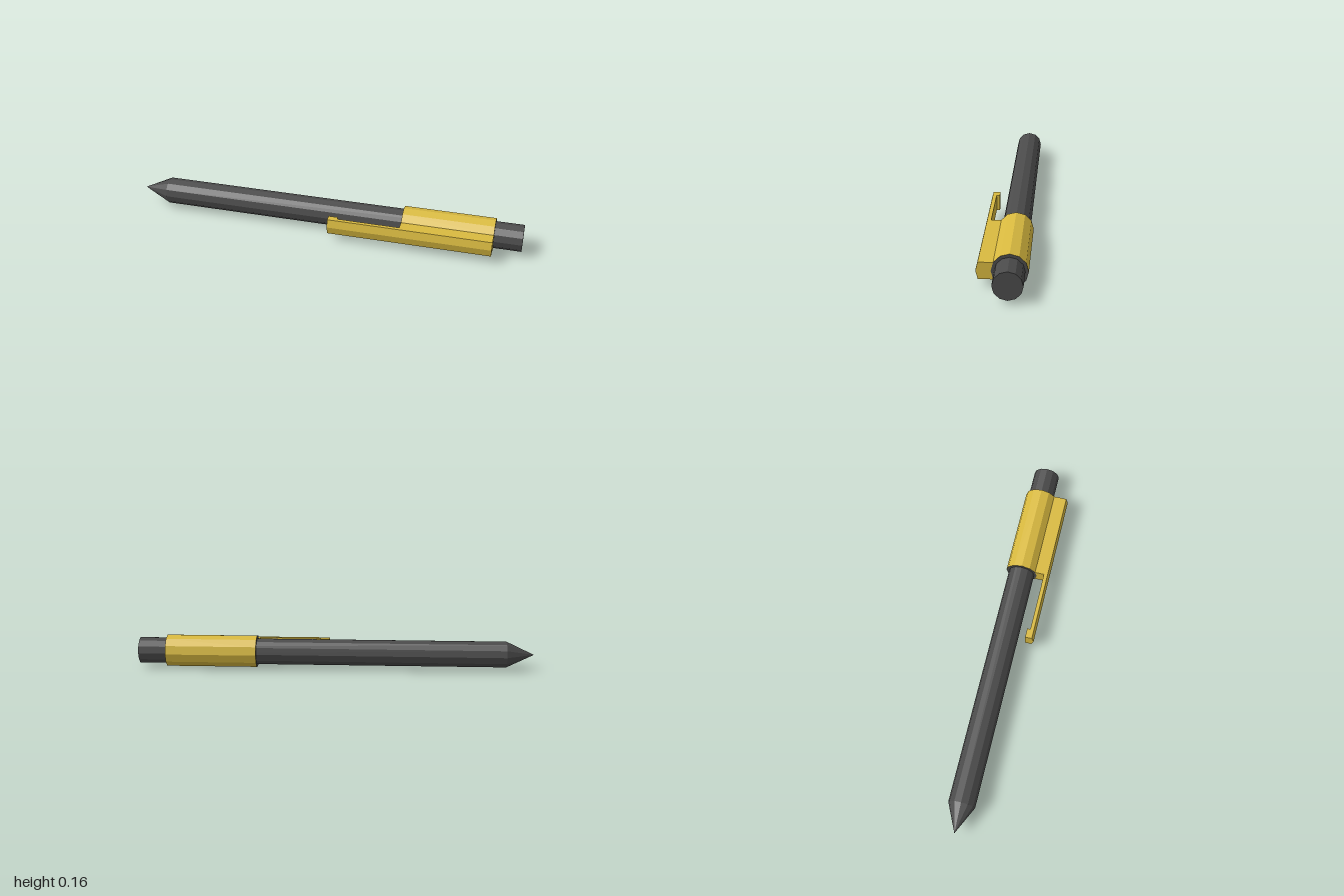
import * as THREE from 'three';

const AXIS_Y = 0.083, AXIS_Z = -0.033, SIDES = 12;

export function createModel() {
  const charcoal = new THREE.MeshStandardMaterial({ color: 0x4b4b4b, flatShading: true });
  charcoal.name = 'charcoal';
  const gold = new THREE.MeshStandardMaterial({ color: 0xd9ba40, flatShading: true });
  gold.name = 'gold';

  const pen = new THREE.Group();
  pen.name = 'pen';
  const add = (name, geometry, material) => {
    const mesh = new THREE.Mesh(geometry, material);
    mesh.name = name;
    pen.add(mesh);
  };
  // Turn a shape made around the y axis onto the pen's long axis
  const alongPen = (geometry, x = 0) => geometry.rotateZ(-Math.PI / 2).translate(x, AXIS_Y, AXIS_Z);

  // Barrel with pointed tip and flat end
  const profile = [[0, -1], [0.067, -0.86], [0.067, 1], [0, 1]].map(([r, l]) => new THREE.Vector2(r, l));
  add('barrel', alongPen(new THREE.LatheGeometry(profile, SIDES)), charcoal);

  // Gold sleeve with dark end rings
  const sleeve = new THREE.CylinderGeometry(0.082, 0.082, 0.46, SIDES);
  add('sleeve', alongPen(sleeve, 0.63), [gold, charcoal, charcoal]);

  // Clip pieces share a ridged outer face; the inner face varies
  const clipPiece = (name, x0, x1, innerEdge, innerMid) => {
    const outline = [[innerEdge, 0.043], [0.105, 0.043], [0.115, AXIS_Y], [0.105, 0.123],
      [innerEdge, 0.123], [innerMid, AXIS_Y]];
    const shape = new THREE.Shape(outline.map(([z, y]) => new THREE.Vector2(-z, y)));
    const geometry = new THREE.ExtrudeGeometry(shape, { depth: x1 - x0, bevelEnabled: false });
    add(name, geometry.rotateY(Math.PI / 2).translate(x0, 0, 0), gold);
  };
  clipPiece('clipHook', 0.037, 0.085, 0.07, 0.07);
  clipPiece('clipArm', 0.085, 0.4, 0.086, 0.086);
  clipPiece('clipBase', 0.4, 0.86, 0.038, 0.049);

  return pen;
}
